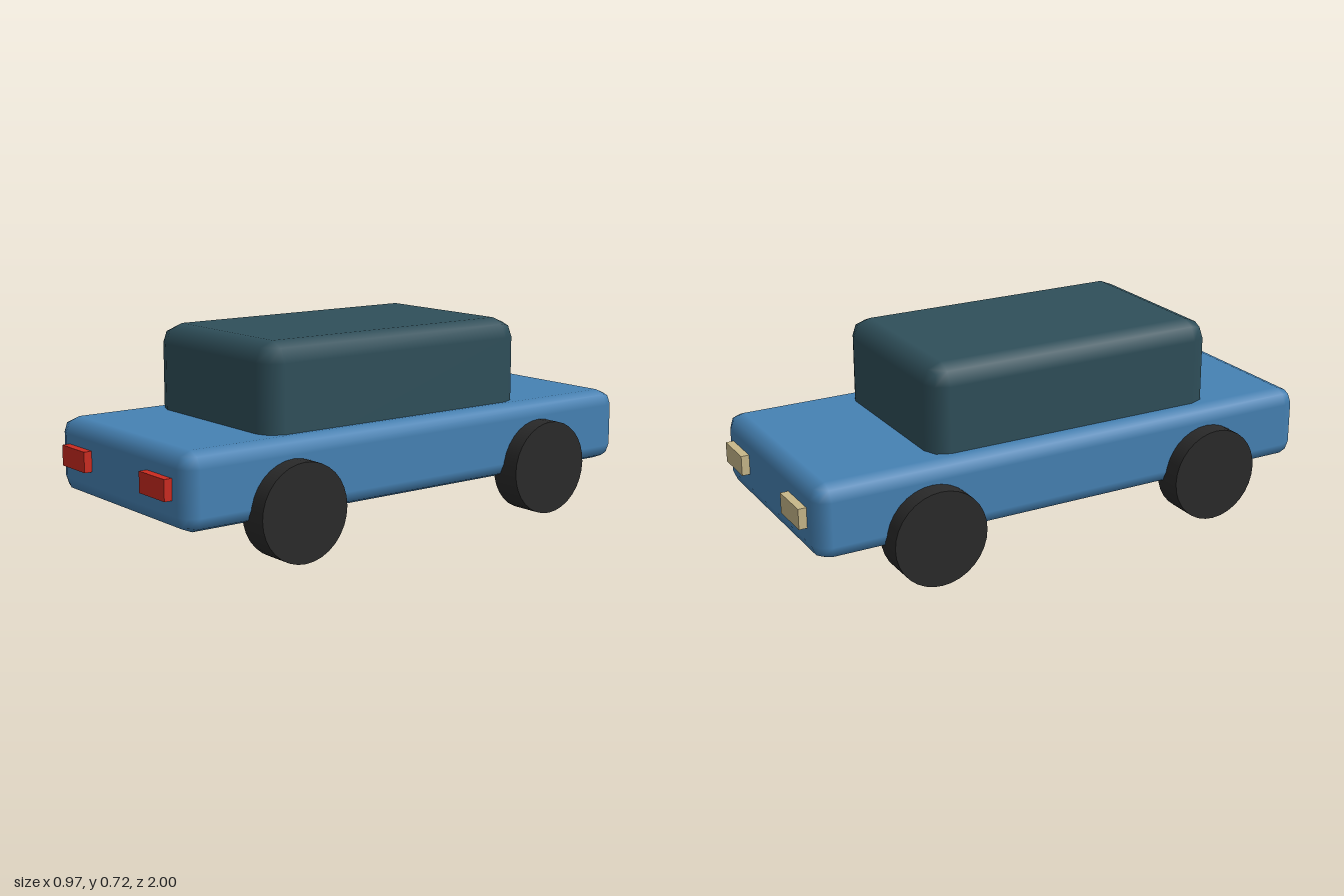
import * as THREE from 'three';
import { RoundedBoxGeometry } from 'three/addons/geometries/RoundedBoxGeometry.js';

const paint = (name, color) => {
  const m = new THREE.MeshStandardMaterial({ color });
  m.name = name;
  return m;
};

export function createModel() {
  const car = new THREE.Group();
  car.name = 'car';

  const bodyBlue = paint('bodyBlue', 0x4682b4);
  const cabinTeal = paint('cabinTeal', 0x2f4f5a);
  const tyreBlack = paint('tyreBlack', 0x2a2a2a);
  const lampRed = paint('lampRed', 0xcb2b20);
  const lampCream = paint('lampCream', 0xc8b88a);

  const add = (name, geometry, material, x, y, z) => {
    const mesh = new THREE.Mesh(geometry, material);
    mesh.name = name;
    mesh.position.set(x, y, z);
    car.add(mesh);
  };

  // Bevelled lower body and cabin; the cabin's base sinks into the body
  add('body', new RoundedBoxGeometry(0.836, 0.267, 1.942, 1, 0.055), bodyBlue, 0, 0.275, 0);
  add('cabin', new RoundedBoxGeometry(0.7, 0.46, 1.126, 1, 0.07), cabinTeal, 0, 0.485, 0.046);

  // Wheels, lying along x
  const wheel = new THREE.CylinderGeometry(0.171, 0.171, 0.115, 32).rotateZ(Math.PI / 2);
  // Lamps, half sunk into the body ends
  const lamp = new THREE.BoxGeometry(0.155, 0.073, 0.06);

  for (const [side, sx] of [['left', 1], ['right', -1]]) {
    for (const [end, sz] of [['Front', 1], ['Rear', -1]]) {
      add(`${side}${end}Wheel`, wheel, tyreBlack, sx * 0.426, 0.171, sz * 0.556);
      add(`${side}${end}Lamp`, lamp, sz > 0 ? lampRed : lampCream, sx * 0.259, 0.284, sz * 0.97);
    }
  }
  return car;
}
